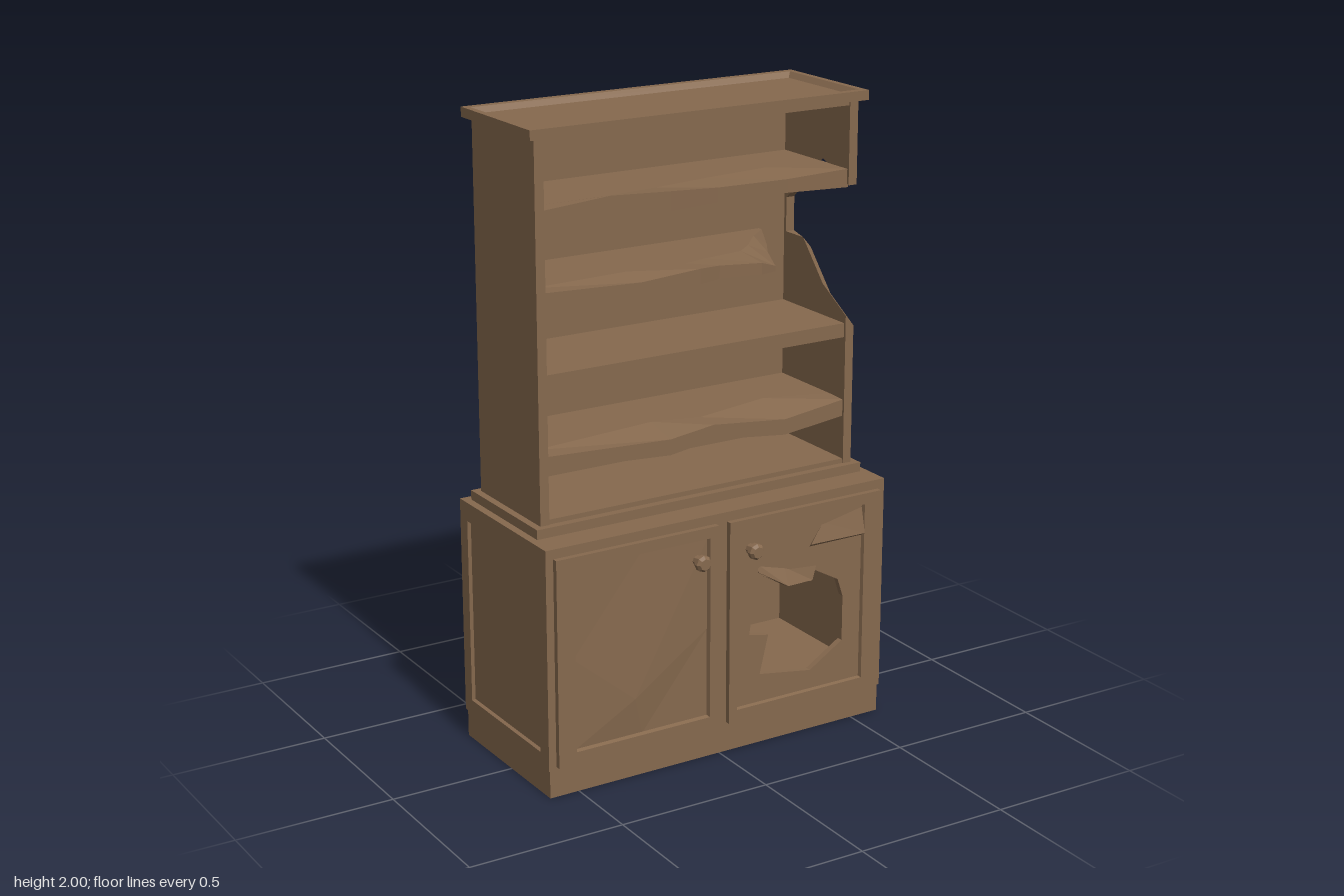
import * as THREE from 'three';

const wood = new THREE.MeshStandardMaterial({ color: 0x86694e, flatShading: true, side: THREE.DoubleSide });
wood.name = 'brown wood';

const V = (pts) => pts.map(([x, y]) => new THREE.Vector2(x, y));
const rect = (x0, x1, y0, y1) => [[x0, y0], [x1, y0], [x1, y1], [x0, y1]];

function add(parent, name, geometry) {
  const g = geometry.index ? geometry.toNonIndexed() : geometry;
  g.computeVertexNormals();
  const mesh = new THREE.Mesh(g, wood);
  mesh.name = name;
  parent.add(mesh);
  return mesh;
}

function box(parent, name, x0, x1, y0, y1, z0, z1) {
  const g = new THREE.BoxGeometry(x1 - x0, y1 - y0, z1 - z0);
  g.translate((x0 + x1) / 2, (y0 + y1) / 2, (z0 + z1) / 2);
  return add(parent, name, g);
}

// Flat board, optionally with one hole
function board(outline, hole, depth) {
  const shape = new THREE.Shape(V(outline));
  if (hole) shape.holes.push(new THREE.Path(V(hole)));
  return new THREE.ExtrudeGeometry(shape, { depth, bevelEnabled: false });
}

// Rectangular frame whose opening narrows by `bevel` towards its rear
function frame(outer, inner, depth, bevel) {
  const g = board(rect(...outer), rect(...inner), depth);
  const [x0, x1, y0, y1] = inner, p = g.attributes.position, e = 1e-4;
  for (let i = 0; i < p.count; i++) {
    const x = p.getX(i), y = p.getY(i);
    if (p.getZ(i) > e || x < x0 - e || x > x1 + e || y < y0 - e || y > y1 + e) continue;
    p.setX(i, x + (x < (x0 + x1) / 2 ? bevel : -bevel));
    p.setY(i, y + (y < (y0 + y1) / 2 ? bevel : -bevel));
  }
  return g;
}

// Skin over equal-sized rings of points, with both ends closed
function loft(rings) {
  const n = rings[0].length, index = [];
  for (let r = 0; r < rings.length - 1; r++)
    for (let i = 0; i < n; i++) {
      const a = r * n + i, b = r * n + (i + 1) % n;
      index.push(a, b, a + n, b, b + n, a + n);
    }
  const last = (rings.length - 1) * n;
  for (let i = 1; i < n - 1; i++) index.push(0, i + 1, i, last, last + i, last + i + 1);
  const g = new THREE.BufferGeometry();
  g.setAttribute('position', new THREE.Float32BufferAttribute(rings.flat(2), 3));
  g.setIndex(index);
  return g;
}

// Worn shelf: stations are [x, front top y, front bottom y, front z, start of the worn slope z]
function shelf(parent, name, top, bottom, stations) {
  const back = -0.216;
  add(parent, name, loft(stations.map(([x, ft, fb, fz, sz]) => [
    [x, bottom, back], [x, bottom, Math.min(sz, fz - 0.005)], [x, fb, fz],
    [x, ft, fz], [x, top, Math.min(sz, fz - 0.005)], [x, top, back],
  ])));
}

function buildBase(root) {
  const base = new THREE.Group();
  base.name = 'lowerCabinet';
  root.add(base);
  box(base, 'plinth', -0.6, 0.6, 0, 0.09, -0.29, 0.236);
  box(base, 'cabinetFloor', -0.595, 0.595, 0.09, 0.15, -0.27, 0.21);
  box(base, 'cabinetBack', -0.605, 0.605, 0.09, 0.79, -0.295, -0.27);
  box(base, 'cabinetTop', -0.605, 0.605, 0.76, 0.79, -0.27, 0.24);
  box(base, 'divider', -0.03, 0.0, 0.15, 0.76, -0.27, 0.21);
  const front = board(rect(-0.605, 0.605, 0.09, 0.76), rect(0.055, 0.515, 0.145, 0.72), 0.03);
  add(base, 'cabinetFront', front.translate(0, 0, 0.21));

  // Sides with sunken panels
  for (const s of [-1, 1]) {
    box(base, 'sidePanel', Math.min(s * 0.565, s * 0.595), Math.max(s * 0.565, s * 0.595), 0.09, 0.76, -0.27, 0.21);
    const zr = s > 0 ? [-0.21, 0.27, -0.19, 0.25] : [-0.27, 0.21, -0.25, 0.19];
    const g = frame([zr[0], zr[1], 0.09, 0.76], [zr[2], zr[3], 0.135, 0.73], 0.01, 0.004);
    g.rotateY(s * Math.PI / 2).translate(s * 0.595, 0, 0);
    add(base, 'sideFrame', g);
  }

  // Left-hand (-x) door with a slightly warped panel
  add(base, 'doorFrame', frame([-0.58, -0.02, 0.1, 0.76], [-0.52, -0.05, 0.14, 0.725], 0.018, 0.005).translate(0, 0, 0.24));
  const warped = new THREE.PlaneGeometry(0.47, 0.585, 2, 2);
  warped.attributes.position.setXYZ(4, -0.03, -0.17, 0.012);
  add(base, 'doorPanel', warped.translate(-0.285, 0.4325, 0.244));

  // Right-hand (+x) door with a smashed panel
  add(base, 'doorFrame', frame([0.02, 0.58, 0.1, 0.76], [0.05, 0.52, 0.14, 0.725], 0.018, 0.005).translate(0, 0, 0.24));
  const hole = [[0.13, 0.57], [0.2, 0.53], [0.33, 0.505], [0.34, 0.54], [0.43, 0.49], [0.45, 0.43],
    [0.45, 0.28], [0.33, 0.205], [0.14, 0.235], [0.17, 0.36], [0.1, 0.375]];
  add(base, 'brokenPanel', board(rect(0.05, 0.52, 0.14, 0.725), hole, 0.02).translate(0, 0, 0.226));
  add(base, 'panelSplinter', loft([
    [[0.32, 0.62, 0.245], [0.32, 0.63, 0.256], [0.37, 0.69, 0.245]],
    [[0.52, 0.62, 0.245], [0.52, 0.63, 0.26], [0.52, 0.72, 0.245]],
  ]));
  add(base, 'panelSplinter', loft([
    [[0.13, 0.57, 0.24], [0.13, 0.575, 0.248], [0.13, 0.6, 0.244]],
    [[0.23, 0.51, 0.24], [0.23, 0.515, 0.266], [0.23, 0.57, 0.245]],
    [[0.33, 0.505, 0.24], [0.33, 0.51, 0.252], [0.35, 0.56, 0.245]],
  ]));

  // Knobs
  const profile = V([[0, 0], [0.017, 0], [0.017, 0.018], [0.026, 0.023], [0.026, 0.037], [0.018, 0.047], [0, 0.047]]);
  for (const x of [-0.095, 0.095]) {
    const g = new THREE.LatheGeometry(profile, 8);
    add(base, 'knob', g.rotateX(Math.PI / 2).translate(x, 0.663, 0.255));
  }
}

function buildUpper(root) {
  const upper = new THREE.Group();
  upper.name = 'upperShelving';
  root.add(upper);
  box(upper, 'waistMoulding', -0.58, 0.58, 0.79, 0.82, -0.268, 0.147);
  box(upper, 'bottomBoard', -0.53, 0.53, 0.82, 0.835, -0.216, 0.122);
  box(upper, 'backPanel', -0.557, 0.557, 0.82, 1.97, -0.246, -0.216);
  box(upper, 'wholeSide', -0.557, -0.527, 0.82, 1.97, -0.216, 0.126);
  box(upper, 'topBoard', -0.53, 0.53, 1.955, 1.97, -0.216, 0.122);

  // Broken side: a jagged bite out of its front edge, narrower on the inside
  const side = board([[-0.216, 0.82], [0.126, 0.82], [0.126, 1.265], [0, 1.34], [-0.11, 1.465], [-0.205, 1.5],
    [-0.205, 1.61], [-0.01, 1.81], [0.126, 1.71], [0.126, 1.97], [-0.216, 1.97]], null, 0.03);
  const p = side.attributes.position;
  for (let i = 0; i < p.count; i++) {
    const y = p.getY(i);
    if (p.getZ(i) < 0.01) continue;
    if (y > 1.2 && y < 1.48) p.setY(i, y + 0.035);
    if (y > 1.8 && y < 1.9) p.setY(i, y - 0.04);
  }
  add(upper, 'brokenSide', side.rotateY(-Math.PI / 2).translate(0.557, 0, 0));

  // Crown with a sunken top
  box(upper, 'crownBoard', -0.58, 0.58, 1.97, 1.983, -0.268, 0.147);
  const crown = frame([-0.58, 0.58, -0.147, 0.268], [-0.56, 0.56, -0.122, 0.243], 0.017, 0.014);
  add(upper, 'crownRim', crown.rotateX(-Math.PI / 2).translate(0, 1.983, 0));

  // Shelves, top to bottom
  shelf(upper, 'wornTopShelf', 1.76, 1.705, [
    [-0.53, 1.76, 1.715, 0.118, 0.05], [-0.3, 1.775, 1.71, 0.11, 0.05], [-0.1, 1.765, 1.705, 0.115, 0.03],
    [0.08, 1.75, 1.705, 0.09, 0.0], [0.33, 1.745, 1.703, 0.085, -0.03], [0.53, 1.76, 1.703, 0.118, 0.04]]);
  shelf(upper, 'brokenShelf', 1.52, 1.472, [
    [-0.53, 1.52, 1.472, 0.118, 0.05], [-0.2, 1.505, 1.456, 0.112, 0.03], [0.0, 1.52, 1.472, 0.118, 0.04],
    [0.08, 1.515, 1.474, 0.1, 0.02], [0.22, 1.508, 1.472, 0.118, 0.0], [0.28, 1.487, 1.47, 0.1, -0.05],
    [0.36, 1.485, 1.47, -0.06, -0.14], [0.43, 1.478, 1.47, -0.17, -0.2]]);
  box(upper, 'wholeShelf', -0.53, 0.53, 1.23, 1.275, -0.216, 0.118);
  shelf(upper, 'wornLowShelf', 1.03, 0.98, [
    [-0.53, 1.028, 0.985, 0.118, 0.05], [-0.1, 1.005, 0.955, 0.112, 0.0], [0.05, 1.027, 0.98, 0.118, 0.04],
    [0.32, 0.995, 0.945, 0.105, -0.02], [0.53, 1.028, 0.975, 0.118, 0.05]]);
}

export function createModel() {
  const root = new THREE.Group();
  root.name = 'brokenCupboard';
  buildBase(root);
  buildUpper(root);
  root.rotation.y = 0.0085;
  return root;
}
